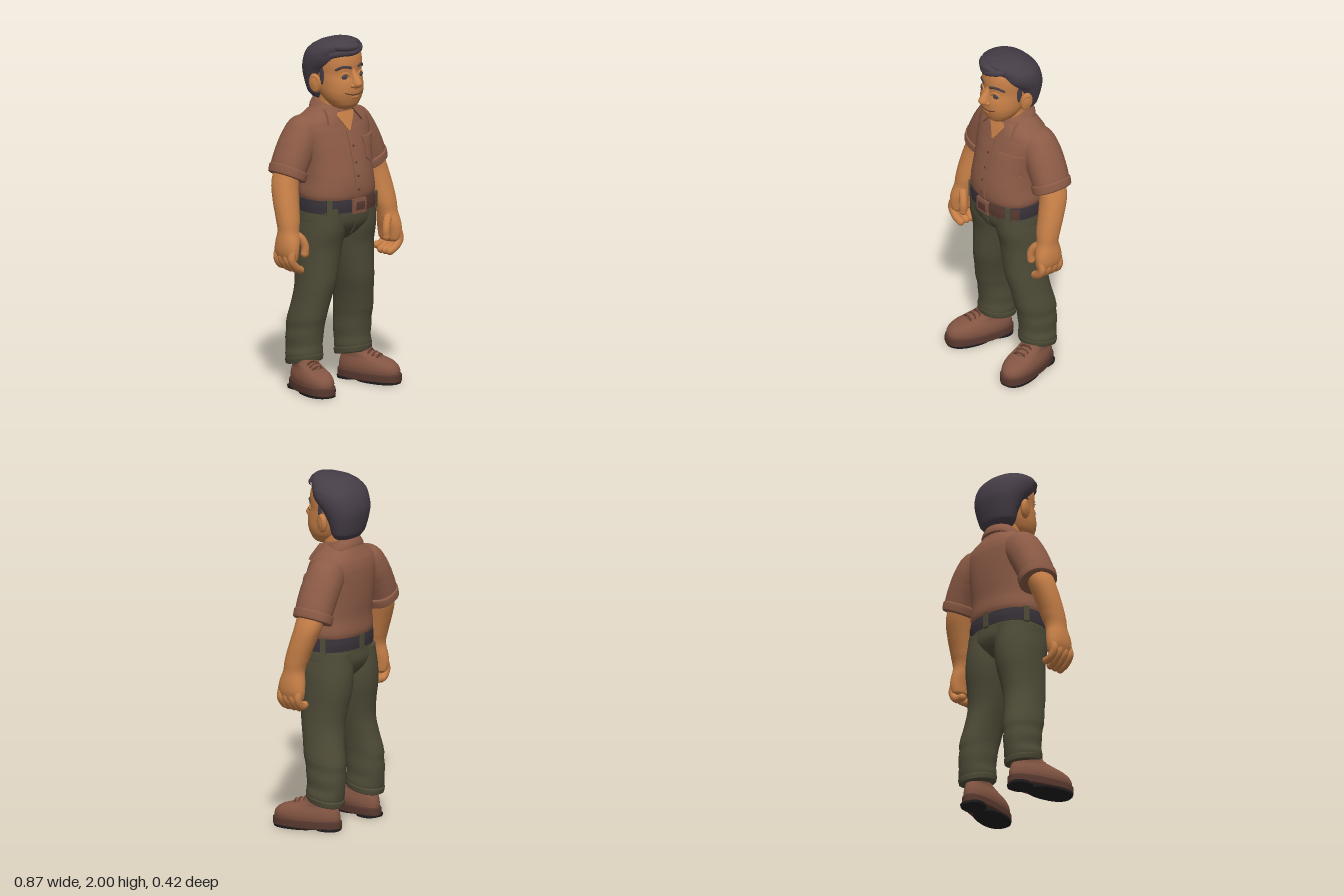
import * as THREE from 'three';
import { toCreasedNormals } from 'three/addons/utils/BufferGeometryUtils.js';

const mat = (name, color) => Object.assign(new THREE.MeshStandardMaterial({ color }), { name });
const lerp = THREE.MathUtils.lerp;

// Rings are [y, x, z, radiusX, radiusZ], rising; values between rings follow a smooth curve.
function ringAt(rings, y) {
  let i = 0;
  while (i < rings.length - 2 && y > rings[i + 1][0]) i++;
  const a = rings[Math.max(i - 1, 0)], b = rings[i], c = rings[i + 1], d = rings[Math.min(i + 2, rings.length - 1)];
  const t = THREE.MathUtils.clamp((y - b[0]) / (c[0] - b[0]), 0, 1);
  return b.map((p, k) => k === 0 ? y : p + 0.5 * t * (c[k] - a[k]
    + t * (2 * a[k] - 5 * p + 4 * c[k] - d[k] + t * (3 * (p - c[k]) + d[k] - a[k]))));
}

// Closed body through the rings: n is squareness, tilt slants the rings, taper widens the front.
function loft(rings, { n = 2.2, tiltX = 0, tiltZ = 0, taper = 0, seg = 36, sub = 5 } = {}) {
  const pos = [], idx = [], ys = [];
  rings.forEach((r, i) => {
    if (i) for (let k = 1; k <= sub; k++) ys.push(lerp(rings[i - 1][0], r[0], k / sub));
    else ys.push(r[0]);
  });
  const addRing = (y) => {
    const [, cx, cz, rx, rz] = ringAt(rings, y);
    for (let j = 0; j < seg; j++) {
      const a = j / seg * Math.PI * 2, c = Math.cos(a), s = Math.sin(a);
      const dz = Math.sign(s) * Math.abs(s) ** (2 / n);
      const dx = Math.sign(c) * Math.abs(c) ** (2 / n) * rx * (1 + taper * dz);
      pos.push(cx + dx, y + tiltX * dx + tiltZ * dz * rz, cz + dz * rz);
    }
  };
  ys.forEach(addRing);
  for (let i = 0; i < ys.length - 1; i++) for (let j = 0; j < seg; j++) {
    const a = i * seg + j, d = i * seg + (j + 1) % seg;
    idx.push(a, a + seg, d, a + seg, d + seg, d);
  }
  // End caps with their own corners
  [ys[0], ys[ys.length - 1]].forEach((y, top) => {
    const base = pos.length / 3, r = ringAt(rings, y);
    addRing(y);
    pos.push(r[1], y, r[2]);
    for (let j = 0; j < seg; j++) {
      const a = base + j, b = base + (j + 1) % seg;
      idx.push(base + seg, top ? b : a, top ? a : b);
    }
  });
  const g = new THREE.BufferGeometry();
  g.setAttribute('position', new THREE.Float32BufferAttribute(pos, 3));
  g.setIndex(idx);
  g.computeVertexNormals();
  return g;
}

// Front surface of a loft at (x, y)
function frontZ(rings, x, y, n) {
  const [, cx, cz, rx, rz] = ringAt(rings, y);
  return cz + rz * Math.max(0, 1 - (Math.abs(x - cx) / rx) ** n) ** (1 / n);
}

// Raised panel following the front of a loft; left and right edges are functions of height 0..1
function patch(rings, n, y0, y1, left, right, off) {
  const rows = 14, cols = 12, pos = [], idx = [];
  for (let i = 0; i <= rows; i++) for (let j = 0; j <= cols; j++) {
    const t = THREE.MathUtils.clamp((i - 1) / (rows - 2), 0, 1), u = THREE.MathUtils.clamp((j - 1) / (cols - 2), 0, 1);
    const y = lerp(y0, y1, t), x = lerp(left(t), right(t), u);
    const edge = i === 0 || j === 0 || i === rows || j === cols;
    pos.push(x, y, frontZ(rings, x, y, n) + (edge ? -0.004 : off));
    if (i < rows && j < cols) {
      const a = i * (cols + 1) + j, d = a + cols + 1;
      idx.push(a, a + 1, d + 1, a, d + 1, d);
    }
  }
  const g = new THREE.BufferGeometry();
  g.setAttribute('position', new THREE.Float32BufferAttribute(pos, 3));
  g.setIndex(idx);
  return toCreasedNormals(g, 0.7);
}

const tube = (pts, r) => new THREE.TubeGeometry(new THREE.CatmullRomCurve3(pts.map(p => new THREE.Vector3(...p))), 16, r, 10);
const ball = (x, y, z, rx, ry, rz) => new THREE.SphereGeometry(1, 24, 16).scale(rx, ry, rz).translate(x, y, z);

export function createModel() {
  const skin = mat('skin', 0xc67f47), shirt = mat('shirt', 0x8c5b46), green = mat('trousers', 0x4e4b37);
  const hair = mat('hair', 0x463d47), dark = mat('darkLeather', 0x39323a), leather = mat('shoeLeather', 0x835543);
  const sole = mat('soleBrown', 0x58392f), black = mat('tread', 0x211f21), eye = mat('eye', 0x45454e), trim = mat('trim', 0x5e3b2c);
  const root = new THREE.Group();
  const add = (name, geo, m, parent = root) => {
    const mesh = new THREE.Mesh(geo, m);
    mesh.name = name;
    parent.add(mesh);
    return mesh;
  };
  const sides = [[1, 'left'], [-1, 'right']];

  // Shirt body
  const torso = [[1.07, 0, -.02, .21, .165], [1.12, 0, -.02, .225, .18], [1.2, 0, -.02, .215, .178], [1.3, 0, -.035, .213, .172],
    [1.4, 0, -.05, .226, .16], [1.48, 0, -.062, .24, .144], [1.53, 0, -.065, .225, .128], [1.565, 0, -.063, .175, .112],
    [1.6, 0, -.06, .118, .096], [1.63, 0, -.06, .085, .08]];
  add('shirtBody', loft(torso, { n: 2.3 }), shirt);
  add('placket', patch(torso, 2.3, 1.09, 1.475, () => -.022, () => .022, .006), shirt);
  for (const y of [1.15, 1.225, 1.3, 1.39]) add('button', ball(0, y, frontZ(torso, 0, y, 2.3) + .006, .0075, .0075, .004), trim);
  add('chestOpening', patch(torso, 2.3, 1.465, 1.575, t => -.072 * t, t => .072 * t, .006), skin);
  const pocketIn = t => .05 * Math.max(0, 1 - t * 4.5);
  add('pocket', patch(torso, 2.3, 1.28, 1.41, t => .087 + pocketIn(t), t => .212 - pocketIn(t), .011), shirt);
  add('pocketFlap', patch(torso, 2.3, 1.387, 1.427, () => .083, () => .216, .017), shirt);
  add('collarBand', loft([[1.56, 0, -.06, .13, .112], [1.585, 0, -.06, .122, .108], [1.625, 0, -.06, .1, .092]], { tiltZ: -.4 }), shirt);

  // Neck and head
  add('neck', loft([[1.45, 0, -.02, .09, .08], [1.55, 0, -.035, .09, .082], [1.67, 0, -.05, .085, .08]]), skin);
  const head = [[1.592, 0, .04, .03, .035], [1.605, 0, .04, .06, .062], [1.625, 0, .035, .083, .085], [1.66, 0, .025, .106, .108],
    [1.7, 0, .015, .119, .127], [1.75, 0, 0, .124, .14], [1.8, 0, -.015, .126, .14], [1.86, 0, -.02, .13, .148],
    [1.92, 0, -.015, .12, .13], [1.96, 0, 0, .07, .08]];
  const onFace = (x, y, off) => [x, y, frontZ(head, x, y, 2.2) + off];
  add('head', loft(head), skin);
  add('nose', loft([[1.722, 0, .135, .012, .015], [1.732, 0, .138, .024, .034], [1.75, 0, .14, .028, .043],
    [1.775, 0, .135, .022, .034], [1.81, 0, .122, .016, .016], [1.84, 0, .118, .012, .008]]), skin);
  add('mouth', tube([-.068, -.04, 0, .04, .068].map(x => onFace(x, 1.686 + 3.2 * x * x, 0)), .003), trim);
  add('lowerLip', ball(...onFace(0, 1.672, -.008), .035, .009, .011), skin);
  for (const [s, side] of sides) {
    add(side + 'Nostril', ball(s * .024, 1.74, .14, .013, .013, .017), skin);
    add(side + 'Eye', ball(...onFace(s * .054, 1.789, -.007), .023, .016, .012), eye);
    add(side + 'Eyelid', tube([[.028, 1.79], [.043, 1.807], [.064, 1.808], [.084, 1.787]].map(([x, y]) => onFace(s * x, y, 0)), .007), skin);
    add(side + 'Brow', tube([[.022, 1.838], [.045, 1.846], [.07, 1.847], [.1, 1.829]].map(([x, y]) => onFace(s * x, y, -.001)), .0075), hair);
    const ear = add(side + 'Ear', ball(0, 0, 0, .022, .056, .036), skin);
    ear.position.set(s * .147, 1.745, -.035);
    ear.rotation.set(-.12, s * -.35, s * -.12);
    const rim = add(side + 'EarRim', new THREE.TorusGeometry(.026, .007, 8, 24).scale(1, 1.5, 1).rotateY(Math.PI / 2), skin);
    rim.position.set(s * .157, 1.747, -.03);
    rim.rotation.set(-.12, s * -.35, s * -.12);
    add(side + 'Sideburn', ball(s * .121, 1.805, -.005, .009, .07, .02), hair);
  }

  // Hair: cap plus swept fringe
  add('hairCap', loft([[1.64, 0, -.095, .075, .045], [1.65, 0, -.1, .095, .055], [1.68, 0, -.105, .12, .07], [1.74, 0, -.107, .138, .085],
    [1.81, 0, -.093, .156, .112], [1.87, 0, -.06, .166, .137], [1.915, -.003, -.04, .161, .136], [1.95, -.008, -.012, .138, .128],
    [1.975, -.008, .012, .108, .108], [1.992, -.004, .03, .065, .075], [2, 0, .035, .015, .02]]), hair);
  const fringe = add('fringe', ball(0, 0, 0, .1, .04, .1), hair);
  fringe.position.set(-.015, 1.948, .048);
  fringe.rotation.set(-.08, 0, -.08);
  add('fringeCurl', tube([[-.115, 1.91, .05], [-.07, 1.925, .1], [-.01, 1.928, .128], [.045, 1.94, .115], [.085, 1.945, .07]], .02), hair);

  // Trousers and belt
  const hips = [[.825, 0, -.045, .04, .05], [.86, 0, -.04, .1, .1], [.9, 0, -.035, .175, .14], [.95, 0, -.028, .222, .166],
    [1, 0, -.022, .224, .17], [1.05, 0, -.02, .218, .168]];
  add('hips', loft(hips, { n: 2.4 }), green);
  add('fly', patch(hips, 2.4, .89, 1.03, t => -.004 - .004 * t, t => .012 + .02 * Math.min(1, t * 2), .008), green);
  const belt = [[1.022, 0, -.02, .228, .174], [1.06, 0, -.02, .23, .177], [1.096, 0, -.02, .228, .174]];
  add('belt', loft(belt, { n: 2.4 }), dark);
  add('beltFrontStrap', patch(belt, 2.4, 1.024, 1.094, () => .03, () => .212, .006), sole);
  add('buckle', patch(belt, 2.4, 1.014, 1.096, () => -.042, () => .056, .014), leather);
  add('buckleCentre', patch(belt, 2.4, 1.032, 1.078, () => -.024, () => .038, .017), sole);
  for (const a of [.78, 2.36, 3.5, 4.71, 5.92]) {
    const c = Math.cos(a), s = Math.sin(a), f = v => Math.sign(v) * Math.abs(v) ** (2 / 2.4);
    const loop = add('beltLoop', new THREE.BoxGeometry(.032, .09, .018), green);
    loop.position.set(f(c) * .23, 1.058, -.02 + f(s) * .177);
    loop.rotation.y = Math.atan2(c / .23, s / .177);
  }

  for (const [s, side] of sides) {
    // Collar flap
    const inner = t => lerp(.112, .05, t), outer = t => lerp(.135, .115, t);
    add(side + 'CollarFlap', s > 0 ? patch(torso, 2.3, 1.515, 1.595, inner, outer, .02)
      : patch(torso, 2.3, 1.515, 1.595, t => -outer(t), t => -inner(t), .02), shirt);

    // Sleeve sloping out of the shoulder, with turned cuff
    add(side + 'Sleeve', loft([[1.24, s * .305, -.09, .083, .105], [1.3, s * .285, -.09, .086, .109], [1.38, s * .243, -.09, .09, .11],
      [1.43, s * .21, -.09, .092, .108], [1.48, s * .172, -.088, .095, .1], [1.51, s * .14, -.085, .09, .09],
      [1.535, s * .11, -.08, .065, .07]], { tiltX: s * .48 }), shirt);
    add(side + 'SleeveCuff', loft([[1.222, s * .31, -.09, .084, .106], [1.228, s * .309, -.09, .09, .113],
      [1.268, s * .297, -.09, .092, .114], [1.274, s * .295, -.09, .086, .107]], { tiltX: s * .48 }), shirt);

    // Arm and palm
    add(side + 'Arm', loft([[.77, s * .383, -.005, .025, .06], [.785, s * .385, -.005, .038, .075], [.83, s * .388, -.005, .048, .083],
      [.88, s * .382, -.005, .054, .078], [.94, s * .372, -.01, .056, .062], [1, s * .364, -.022, .064, .066], [1.1, s * .352, -.052, .07, .072],
      [1.2, s * .332, -.08, .072, .078], [1.3, s * .3, -.085, .066, .08]]), skin);
    [.056, .016, -.024, -.062].forEach((z, i) => {
      const tip = [s * .338, .722 + (i === 3 ? .02 : 0), z * .9];
      add(side + 'Finger', tube([[s * .395, .84, z], [s * .408, .787, z], [s * .376, .743, z], tip], .0225), skin);
      add(side + 'Fingertip', ball(...tip, .0225, .0225, .0225), skin);
    });
    add(side + 'Thumb', tube([[s * .36, .93, .02], [s * .322, .895, .045], [s * .306, .85, .056], [s * .308, .812, .055]], .023), skin);
    add(side + 'ThumbTip', ball(s * .308, .812, .055, .023, .025, .023), skin);

    // Trouser leg and hem
    add(side + 'Leg', loft([[.155, s * .183, -.085, .088, .1], [.2, s * .184, -.085, .097, .108], [.245, s * .181, -.088, .09, .11],
      [.3, s * .18, -.087, .093, .115], [.35, s * .177, -.082, .09, .118], [.4, s * .175, -.075, .093, .125], [.5, s * .16, -.055, .094, .124],
      [.6, s * .143, -.038, .1, .128], [.7, s * .13, -.04, .108, .137], [.8, s * .12, -.045, .117, .15], [.9, s * .113, -.035, .12, .165],
      [1.03, s * .107, -.025, .112, .163]], { tiltZ: .14 }), green);
    add(side + 'Hem', loft([[.152, s * .183, -.085, .09, .1], [.156, s * .183, -.085, .095, .106], [.185, s * .184, -.085, .099, .11],
      [.19, s * .184, -.085, .094, .105]], { tiltZ: .2 }), green);
    add(side + 'PocketSeam', tube([[.125, 1.015], [.14, .985], [.17, .962], [.195, .955]].map(([x, y]) => [s * x, y, frontZ(hips, x, y, 2.4) + .002]), .004), green);

    // Shoe, toes turned outwards
    const shoe = new THREE.Group();
    shoe.name = side + 'Shoe';
    shoe.position.set(s * .218, 0, .012);
    shoe.rotation.y = s * .24;
    root.add(shoe);
    add('treadFront', loft([[0, 0, .065, .083, .132], [.014, 0, .065, .085, .134]], { n: 2.4 }), black, shoe);
    add('treadHeel', loft([[0, 0, -.128, .068, .068], [.014, 0, -.128, .07, .07]], { n: 2.5 }), black, shoe);
    add('sole', loft([[.009, 0, 0, .081, .2], [.014, 0, 0, .084, .203], [.05, 0, 0, .084, .203], [.056, 0, 0, .081, .199]], { n: 2.4, taper: .14 }), sole, shoe);
    add('upper', loft([[.05, 0, 0, .078, .194], [.075, 0, 0, .082, .195], [.1, 0, -.004, .08, .187], [.122, 0, -.016, .073, .168],
      [.138, 0, -.04, .066, .138], [.16, 0, -.074, .063, .099], [.2, 0, -.09, .063, .085]], { n: 2.2, taper: .14 }), leather, shoe);
    add('tongue', ball(0, .15, .02, .036, .02, .055), leather, shoe).rotation.x = .04;
    for (const z of [.07, .042, .012]) {
      const y = .176 - z * .35;
      add('lace', tube([[-.045, y - .03, z], [-.02, y, z + .004], [.02, y, z - .004], [.045, y - .03, z]], .006), trim, shoe);
    }
  }
  return root;
}
